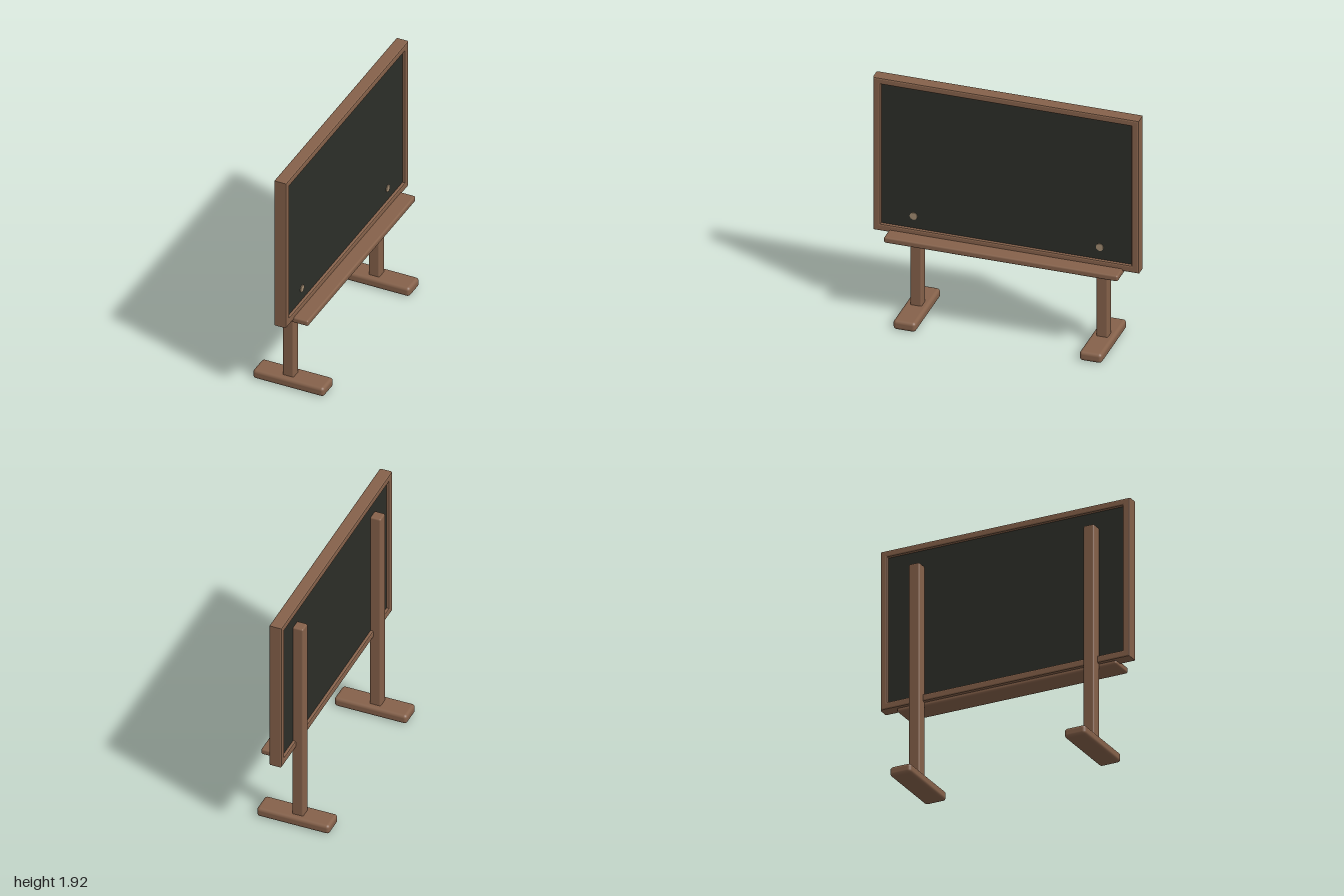
import * as THREE from 'three';
import { RoundedBoxGeometry } from 'three/addons/geometries/RoundedBoxGeometry.js';

const wood = new THREE.MeshStandardMaterial({ color: 0x85614a });
const slate = new THREE.MeshStandardMaterial({ color: 0x2c2e28 });
const boltTone = new THREE.MeshStandardMaterial({ color: 0xa08a70 });

// Rounded bar given by its extents on each axis
function bar(name, [x0, x1], [y0, y1], [z0, z1], radius) {
  const geometry = new RoundedBoxGeometry(x1 - x0, y1 - y0, z1 - z0, 3, radius);
  const mesh = new THREE.Mesh(geometry, wood);
  mesh.position.set((x0 + x1) / 2, (y0 + y1) / 2, (z0 + z1) / 2);
  mesh.name = name;
  return mesh;
}

function rectangle(target, halfWidth, y0, y1) {
  target.moveTo(-halfWidth, y0);
  target.lineTo(halfWidth, y0);
  target.lineTo(halfWidth, y1);
  target.lineTo(-halfWidth, y1);
  target.closePath();
  return target;
}

// Bevelled rectangular surround, turned so the board faces +x
function makeFrame() {
  const b = 0.012;
  const shape = rectangle(new THREE.Shape(), 1 - b, 0.675 + b, 1.92 - b);
  shape.holes.push(rectangle(new THREE.Path(), 0.943 + b, 0.732 - b, 1.868 + b));
  const geometry = new THREE.ExtrudeGeometry(shape, {
    depth: 0.1 - 2 * b, bevelThickness: b, bevelSize: b, bevelSegments: 2,
  });
  geometry.translate(0, 0, -0.01 + b);
  geometry.rotateY(Math.PI / 2);
  const mesh = new THREE.Mesh(geometry, wood);
  mesh.name = 'frame';
  return mesh;
}

export function createModel() {
  const model = new THREE.Group();
  model.name = 'blackboard';

  model.add(makeFrame());

  // Writing surface, set slightly back inside the frame
  const panel = new THREE.Mesh(new THREE.BoxGeometry(0.055, 1.16, 1.91), slate);
  panel.position.set(0.04, 1.3, 0);
  panel.name = 'writingPanel';
  model.add(panel);

  // Chalk ledge below the panel
  model.add(bar('chalkTray', [0.015, 0.203], [0.648, 0.695], [-0.88, 0.88], 0.014));

  // Each side: foot, post and a flush bolt head
  for (const [side, z] of [['left', -0.7], ['right', 0.7]]) {
    const stand = new THREE.Group();
    stand.name = side + 'Stand';
    stand.add(bar('foot', [-0.283, 0.28], [0, 0.075], [z - 0.085, z + 0.085], 0.025));
    stand.add(bar('post', [-0.065, 0.022], [0.04, 1.745], [z - 0.043, z + 0.043], 0.012));

    const bolt = new THREE.Mesh(new THREE.CylinderGeometry(0.028, 0.028, 0.02, 24), boltTone);
    bolt.rotation.z = -Math.PI / 2;
    bolt.position.set(0.064, 0.83, z);
    bolt.name = 'boltHead';
    stand.add(bolt);
    model.add(stand);
  }
  return model;
}
